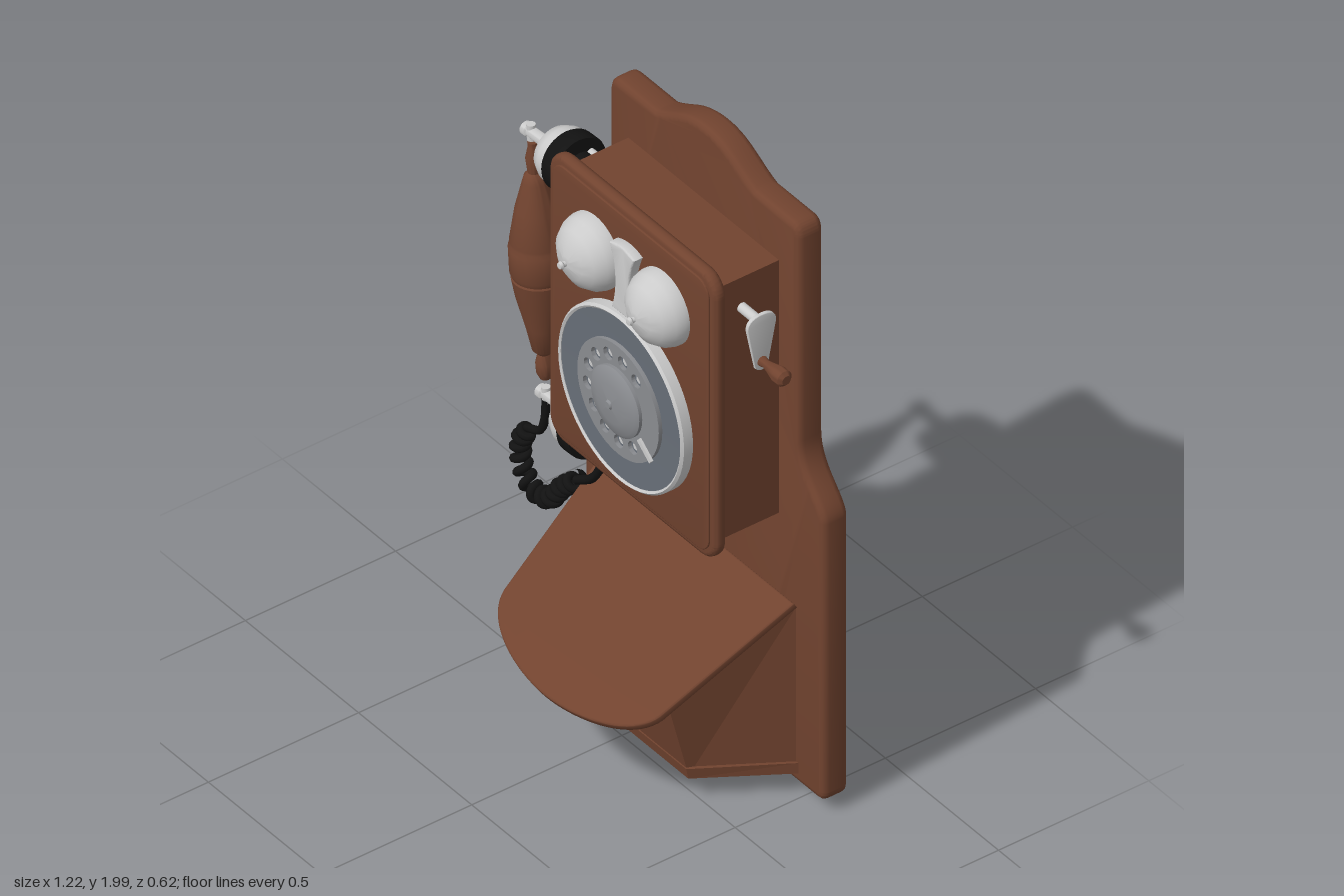
import * as THREE from 'three';
import { toCreasedNormals } from 'three/addons/utils/BufferGeometryUtils.js';

const CX = 0.073; // centre line of the cabinet

export function createModel() {
  const root = new THREE.Group();
  root.name = 'wallTelephone';
  const mat = (name, color) => {
    const m = new THREE.MeshStandardMaterial({ color });
    m.name = name;
    return m;
  };
  const wood = mat('brown wood', 0x71432f);
  const silver = mat('pale metal', 0xcbcbcb);
  const slate = mat('slate dial face', 0x676e77);
  const grey = mat('grey dial wheel', 0x8a8c90);
  const black = mat('black plastic', 0x121212);

  const add = (name, geo, material, x = 0, y = 0, z = 0, parent = root) => {
    const m = new THREE.Mesh(geo, material);
    m.name = name;
    m.position.set(x, y, z);
    parent.add(m);
    return m;
  };
  const lathe = (pts, seg = 40) => toCreasedNormals(
    new THREE.LatheGeometry(pts.map(p => new THREE.Vector2(...p)), seg), 0.6);
  const slab = (shape, depth, bevel) => toCreasedNormals(new THREE.ExtrudeGeometry(shape, {
    depth: depth - 2 * bevel, bevelEnabled: bevel > 0, bevelThickness: bevel,
    bevelSize: bevel, bevelOffset: -bevel, bevelSegments: 3, curveSegments: 20,
  }).translate(0, 0, bevel), 0.6);
  const tube = (pts, r, n) => new THREE.TubeGeometry(
    new THREE.CatmullRomCurve3(pts.map(p => new THREE.Vector3(...p))), n, r, 8);

  // Back board with arched top and bottom and stepped shoulders
  const b = new THREE.Shape();
  b.moveTo(-0.50, 0.05);
  b.lineTo(-0.215, 0.05);
  b.bezierCurveTo(-0.12, 0.045, -0.1, 0.01, 0, 0.01);
  b.bezierCurveTo(0.1, 0.01, 0.12, 0.045, 0.215, 0.05);
  b.lineTo(0.50, 0.05);
  b.quadraticCurveTo(0.53, 0.05, 0.53, 0.085);
  b.lineTo(0.53, 0.985);
  b.bezierCurveTo(0.525, 1.05, 0.42, 1.09, 0.42, 1.2);
  b.lineTo(0.42, 1.88);
  b.quadraticCurveTo(0.415, 1.92, 0.38, 1.92);
  b.lineTo(0.22, 1.92);
  b.bezierCurveTo(0.14, 1.95, 0.1, 2, 0, 2);
  b.bezierCurveTo(-0.1, 2, -0.14, 1.95, -0.22, 1.92);
  b.lineTo(-0.38, 1.92);
  b.quadraticCurveTo(-0.415, 1.92, -0.42, 1.88);
  b.lineTo(-0.42, 1.2);
  b.bezierCurveTo(-0.42, 1.09, -0.525, 1.05, -0.53, 0.985);
  b.lineTo(-0.53, 0.085);
  b.quadraticCurveTo(-0.53, 0.05, -0.50, 0.05);
  add('backBoard', slab(b, 0.085, 0.02), wood, CX, 0, -0.302);

  // Upper cabinet and its rounded door
  add('cabinet', new THREE.BoxGeometry(0.665, 0.85, 0.22), wood, CX, 1.335, -0.115);
  const rounded = (w, h, r) => {
    const s = new THREE.Shape(), x = w / 2, y = h / 2;
    s.absarc(x - r, y - r, r, 0, Math.PI / 2);
    s.absarc(-x + r, y - r, r, Math.PI / 2, Math.PI);
    s.absarc(-x + r, -y + r, r, Math.PI, Math.PI * 1.5);
    s.absarc(x - r, -y + r, r, Math.PI * 1.5, Math.PI * 2);
    return s;
  };
  add('door', slab(rounded(0.74, 0.96, 0.07), 0.04, 0.016), wood, CX, 1.34, -0.018);
  add('doorPanel', slab(rounded(0.69, 0.91, 0.05), 0.008, 0.003), wood, CX, 1.34, 0.019);

  // Pair of bells
  for (const [side, name] of [[-1, 'rightBell'], [1, 'leftBell']]) {
    const g = lathe([[0, 0], [0.1, 0], [0.113, 0.006], [0.113, 0.02], [0.106, 0.045],
      [0.085, 0.075], [0.055, 0.094], [0.02, 0.105], [0.008, 0.108], [0.008, 0.115],
      [0.012, 0.12], [0.009, 0.128], [0, 0.131]]).rotateX(Math.PI / 2);
    add(name, g, silver, CX + side * 0.152, 1.61, 0.022);
  }

  // Flared plate between the bells
  const p = new THREE.Shape();
  p.moveTo(-0.045, -0.11);
  p.lineTo(0.045, -0.11);
  p.quadraticCurveTo(0.01, 0, 0.055, 0.1);
  p.quadraticCurveTo(0, 0.125, -0.055, 0.1);
  p.quadraticCurveTo(-0.01, 0, -0.045, -0.11);
  add('bellPlate', slab(p, 0.035, 0.005), silver, CX, 1.61, 0.022);

  // Dial: metal rim, slate face, finger wheel with holes, hub
  const dial = new THREE.Group();
  dial.name = 'dial';
  dial.position.set(CX, 1.215, 0.022);
  root.add(dial);
  const turn = pts => lathe(pts, 56).rotateX(Math.PI / 2);
  add('dialRim', turn([[0.262, 0], [0.277, 0], [0.277, 0.035], [0.27, 0.042], [0.264, 0.038], [0.262, 0]]),
    silver, 0, 0, 0, dial);
  add('dialFace', turn([[0, 0], [0.265, 0], [0.265, 0.036], [0.185, 0.034], [0, 0.034]]), slate, 0, 0, 0, dial);
  const wheel = new THREE.Shape();
  wheel.absarc(0, 0, 0.18, 0, Math.PI * 2);
  for (let i = 0; i < 10; i++) {
    const a = THREE.MathUtils.degToRad(55 + i * 27);
    const x = 0.137 * Math.cos(a), y = 0.137 * Math.sin(a);
    const h = new THREE.Path();
    h.absarc(x, y, 0.02, 0, Math.PI * 2, true);
    wheel.holes.push(h);
    add('numberDot', new THREE.CircleGeometry(0.012, 12), silver, x, y, 0.0355, dial);
  }
  add('fingerWheel', slab(wheel, 0.012, 0), grey, 0, 0, 0.034, dial);
  add('dialHub', turn([[0, 0], [0.107, 0], [0.107, 0.012], [0.095, 0.02], [0.06, 0.028], [0.014, 0.032],
    [0.01, 0.038], [0, 0.04]]), grey, 0, 0, 0.044, dial);
  add('fingerStop', new THREE.BoxGeometry(0.014, 0.07, 0.008), silver, 0.125, -0.09, 0.05, dial)
    .rotation.z = 0.9;

  // Hand crank on the left side
  const xAxis = (r, len) => new THREE.CylinderGeometry(r, r, len, 20).rotateZ(Math.PI / 2);
  add('crankAxle', xAxis(0.015, 0.1), silver, 0.445, 1.66, -0.093);
  const arm = new THREE.Shape();
  arm.moveTo(-0.02, -0.105);
  arm.quadraticCurveTo(0, -0.125, 0.02, -0.105);
  arm.lineTo(0.047, 0.03);
  arm.quadraticCurveTo(0.05, 0.07, 0, 0.07);
  arm.quadraticCurveTo(-0.05, 0.07, -0.047, 0.03);
  add('crankArm', slab(arm, 0.012, 0.002).rotateY(Math.PI / 2), silver, 0.484, 1.62, -0.093);
  add('crankHandle', lathe([[0, 0], [0.016, 0], [0.012, 0.02], [0.016, 0.04], [0.025, 0.075],
    [0.024, 0.1], [0.014, 0.11], [0, 0.11]], 24).rotateZ(-Math.PI / 2), wood, 0.494, 1.535, -0.093);

  // Ear and mouth cups: black ring, bright bowl, stem and cross pin
  const cup = (name, x, y, tilt) => {
    const g = new THREE.Group();
    g.name = name;
    g.position.set(x, y, -0.108);
    g.rotation.z = tilt;
    root.add(g);
    const out = pts => lathe(pts, 36).rotateZ(Math.PI / 2);
    add('cupRing', out([[0, 0], [0.088, 0], [0.091, 0.008], [0.091, 0.05], [0.086, 0.058], [0, 0.058]]),
      black, 0, 0, 0, g);
    add('cupBowl', out([[0, 0.05], [0.086, 0.055], [0.085, 0.08], [0.072, 0.11], [0.045, 0.13],
      [0.018, 0.137], [0.016, 0.22], [0.02, 0.225], [0.02, 0.242], [0, 0.245]]), silver, 0, 0, 0, g);
    add('cupPin', new THREE.CylinderGeometry(0.013, 0.013, 0.05, 16), silver, -0.216, 0, 0, g);
  };
  cup('earCup', -0.328, 1.668, 0.06);
  cup('mouthCup', -0.262, 0.825, 0.06);
  add('cradleCore', xAxis(0.05, 0.09), black, -0.29, 1.665, -0.108);
  for (const z of [-0.145, -0.065]) add('cradleProng', xAxis(0.013, 0.09), silver, -0.29, 1.7, z);
  add('cradleHook', tube([[-0.46, 1.6, -0.108], [-0.445, 1.565, -0.108], [-0.42, 1.56, -0.108],
    [-0.25, 1.56, -0.108]], 0.012, 30), silver);

  // Turned wooden grip between the cups
  const grip = add('handsetGrip', lathe([[0, -0.38], [0.015, -0.38], [0.024, -0.36], [0.025, -0.33],
    [0.018, -0.3], [0.032, -0.285], [0.046, -0.21], [0.069, -0.11], [0.078, -0.05], [0.075, -0.045],
    [0.081, -0.03], [0.081, 0.05], [0.076, 0.06], [0.077, 0.07], [0.058, 0.17], [0.034, 0.255],
    [0.028, 0.275], [0.018, 0.285], [0.022, 0.33], [0.014, 0.365], [0.014, 0.38], [0, 0.38]]),
    wood, -0.51, 1.245, -0.108);
  grip.rotation.z = 0.075;

  // Cord: straight leads with a coiled middle section
  const z = -0.105;
  add('cordLowerLead', tube([[-0.475, 0.8, z], [-0.48, 0.73, z], [-0.5, 0.68, z], [-0.56, 0.65, z]], 0.012, 24), black);
  add('cordCabinetLead', tube([[-0.34, 0.61, z], [-0.27, 0.66, z], [-0.225, 0.74, z], [-0.2, 0.87, z]], 0.013, 24), black);
  const path = new THREE.CatmullRomCurve3([[-0.55, 0.65], [-0.585, 0.59], [-0.578, 0.51], [-0.53, 0.462],
    [-0.46, 0.475], [-0.4, 0.55], [-0.33, 0.615]].map(q => new THREE.Vector3(q[0], q[1], z)));
  const coil = [];
  for (let i = 0; i <= 156; i++) {
    const t = i / 156, a = t * Math.PI * 2 * 13;
    const c = path.getPointAt(t), d = path.getTangentAt(t);
    coil.push([c.x - d.y * 0.02 * Math.cos(a), c.y + d.x * 0.02 * Math.cos(a), z + 0.02 * Math.sin(a)]);
  }
  add('cordCoil', tube(coil, 0.012, 400), black);

  // Lower bin: plan outline lofted from the floor to the sloped lid
  const loft = (bottom, top) => {
    const pos = [], n = bottom.length;
    const quad = (a, c, d, e) => pos.push(...a, ...c, ...d, ...a, ...d, ...e);
    for (let i = 0; i < n; i++) {
      const j = (i + 1) % n;
      quad(bottom[i], bottom[j], top[j], top[i]);
    }
    quad(top[0], top[1], top[2], top[3]);
    quad(bottom[3], bottom[2], bottom[1], bottom[0]);
    const g = new THREE.BufferGeometry();
    g.setAttribute('position', new THREE.Float32BufferAttribute(pos, 3));
    g.computeVertexNormals();
    return g;
  };
  const ring = (back, front, zf, yb, yf) => [[CX - back, yb, -0.22], [CX - front, yf, zf],
    [CX + front, yf, zf], [CX + back, yb, -0.22]];
  add('bin', loft(ring(0.41, 0.255, 0.025, 0.09, 0.09), ring(0.41, 0.255, 0.115, 0.645, 0.44)), wood);
  add('binFloor', loft(ring(0.42, 0.26, 0.03, 0.085, 0.085), ring(0.42, 0.26, 0.037, 0.12, 0.12)), wood);

  // Sloped writing lid with a bowed front edge
  const l = new THREE.Shape();
  l.moveTo(-0.418, 0);
  l.lineTo(-0.345, -0.46);
  l.bezierCurveTo(-0.32, -0.56, -0.13, -0.61, 0, -0.61);
  l.bezierCurveTo(0.13, -0.61, 0.32, -0.56, 0.345, -0.46);
  l.lineTo(0.418, 0);
  l.closePath();
  const lid = add('writingLid', slab(l, 0.026, 0.006), wood, CX, 0.643, -0.215);
  lid.rotation.x = -1.015;
  return root;
}
